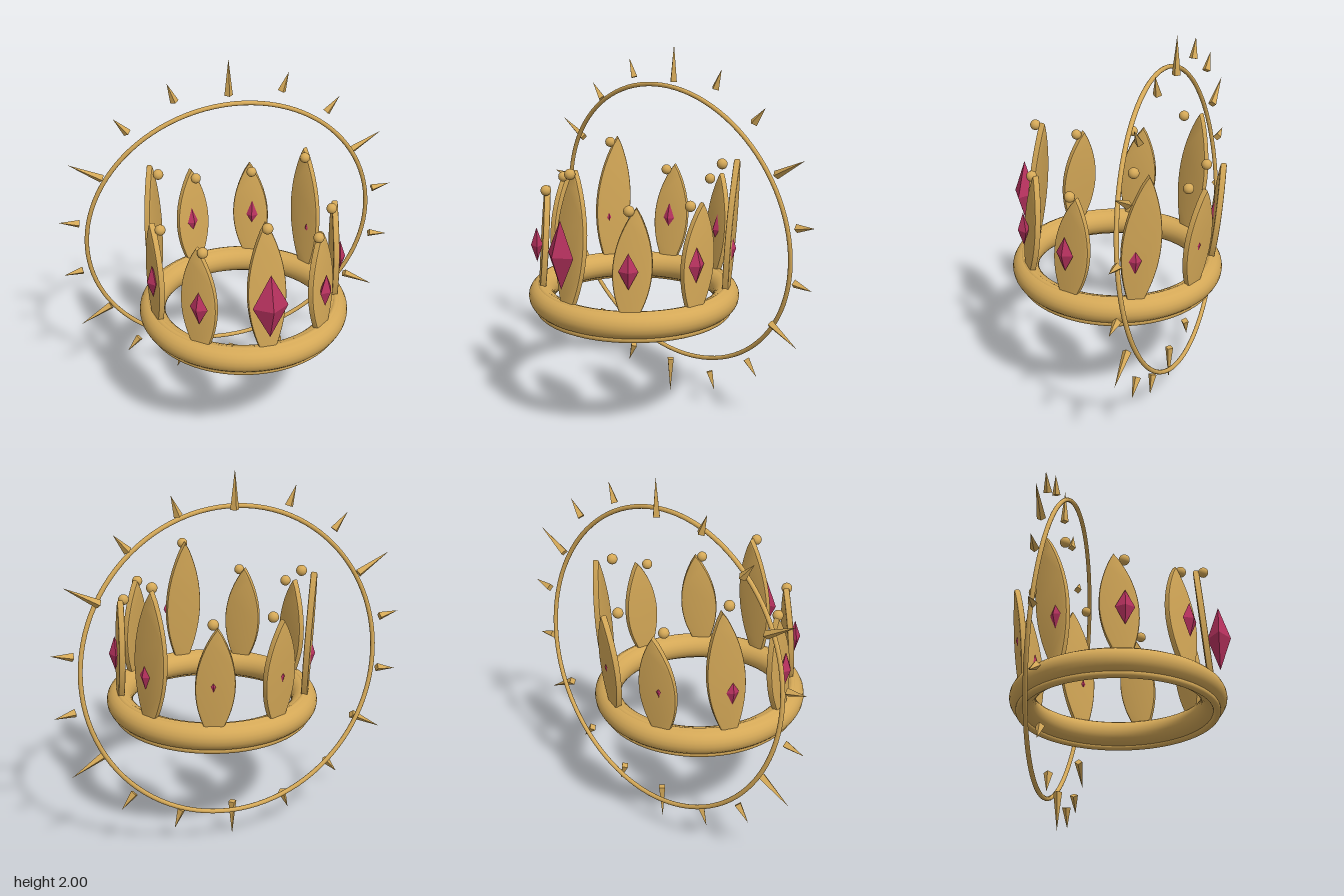
import * as THREE from 'three';
import { toCreasedNormals } from 'three/addons/utils/BufferGeometryUtils.js';

const gold = new THREE.MeshStandardMaterial({ color: 0xd4a857 });
gold.name = 'gold';
const goldFaceted = new THREE.MeshStandardMaterial({ color: 0xd4a857, flatShading: true });
goldFaceted.name = 'gold faceted';
const ruby = new THREE.MeshStandardMaterial({ color: 0xb8325f, flatShading: true });
ruby.name = 'ruby';

function add(parent, name, geometry, material, x = 0, y = 0, z = 0) {
  const mesh = new THREE.Mesh(geometry, material);
  mesh.name = name;
  mesh.position.set(x, y, z);
  parent.add(mesh);
  return mesh;
}

// Bevelled leaf-shaped plate standing on its lower tip
function petalGeometry(height) {
  const bevel = 0.01, w = 0.18;
  const shape = new THREE.Shape();
  shape.moveTo(0, 0);
  shape.quadraticCurveTo(w, height / 2, 0, height);
  shape.quadraticCurveTo(-w, height / 2, 0, 0);
  const geometry = new THREE.ExtrudeGeometry(shape, {
    depth: 0.018, bevelThickness: 0.008, bevelSize: bevel, bevelSegments: 2, curveSegments: 20,
  });
  geometry.translate(0, 0, -0.009);
  return toCreasedNormals(geometry, 0.5);
}

function createCrown() {
  const crown = new THREE.Group();
  crown.name = 'crown';
  crown.position.z = -0.016;

  // Band: a thick ring with a thin trim ring above and below
  const rings = [['band', 0.5, 0.07, 0.686], ['upperTrim', 0.505, 0.02, 0.74], ['lowerTrim', 0.515, 0.02, 0.617]];
  for (const [name, radius, tube, y] of rings) {
    add(crown, name, new THREE.TorusGeometry(radius, tube, 20, 80), gold, 0, y, 0).rotation.x = Math.PI / 2;
  }

  // Nine petals, every third one tall, each with a bead and a gem
  const tallPetal = petalGeometry(0.76);
  const shortPetal = petalGeometry(0.605);
  const bead = new THREE.SphereGeometry(0.028, 20, 14);
  const gem = new THREE.OctahedronGeometry(1);
  for (let i = 0; i < 9; i++) {
    const angle = (i / 9) * Math.PI * 2;
    const s = Math.sin(angle), c = Math.cos(angle);
    const tall = i % 3 === 0;

    // All petals lean the same way, toward the back
    add(crown, 'petal', tall ? tallPetal : shortPetal, gold, s * 0.5, 0.67, c * 0.5).rotation.set(-0.095, angle, 0);
    add(crown, 'bead', bead, gold, s * 0.467, tall ? 1.425 : 1.27, c * 0.467);

    const front = i === 0;
    const r = front ? 0.54 : 0.521;
    const stone = add(crown, front ? 'frontGem' : 'gem', gem, ruby, s * r, front ? 1.02 : 0.975, c * r);
    stone.rotation.y = angle;
    if (front) stone.scale.set(0.092, 0.183, 0.062);
    else stone.scale.set(0.05, 0.095, 0.031);
  }
  return crown;
}

function createHalo() {
  const halo = new THREE.Group();
  halo.name = 'halo';
  halo.position.set(0, 1, -0.325);

  // Slightly tilted hoop
  add(halo, 'hoop', new THREE.TorusGeometry(0.8, 0.012, 12, 100), gold).rotation.x = 0.125;

  // Upright circle of spikes, every third one long
  const longSpike = new THREE.ConeGeometry(0.023, 0.2, 4);
  const shortSpike = new THREE.ConeGeometry(0.023, 0.11, 4);
  for (let i = 0; i < 18; i++) {
    const angle = (i / 18) * Math.PI * 2;
    const geometry = i % 3 === 0 ? longSpike : shortSpike;
    add(halo, 'spike', geometry, goldFaceted, Math.sin(angle) * 0.9, Math.cos(angle) * 0.9, 0).rotation.z = -angle;
  }
  return halo;
}

export function createModel() {
  const model = new THREE.Group();
  model.name = 'crownWithHalo';
  model.add(createCrown(), createHalo());
  return model;
}
